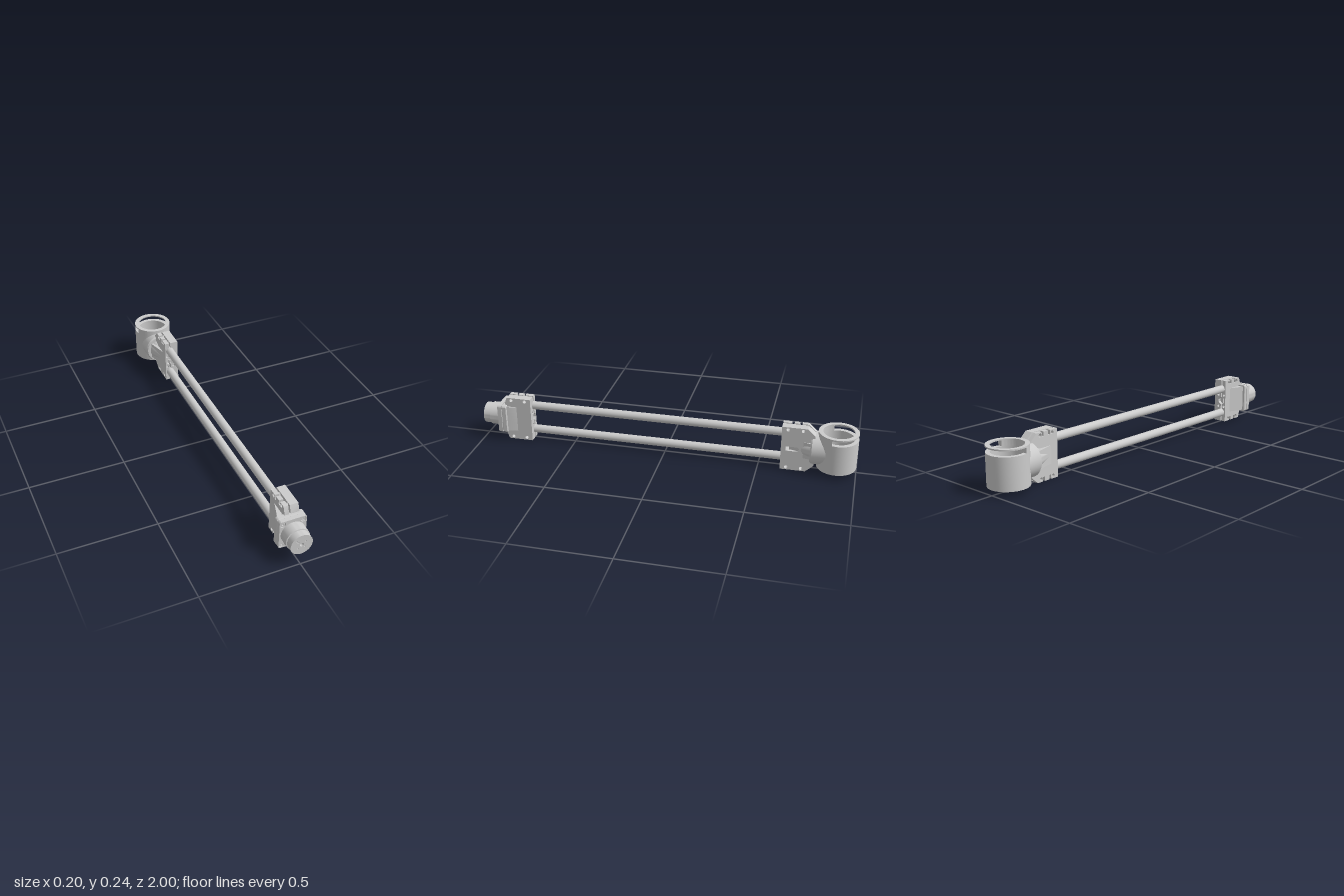
import * as THREE from 'three';
import { toCreasedNormals } from 'three/addons/utils/BufferGeometryUtils.js';

const CY = 0.122;          // height of the arm axis
const ROD = 0.07;          // rod offset above and below the axis
const RING_Z = -0.898;     // centre of the vertical ring
const mat = new THREE.MeshStandardMaterial({ color: 0xcccccc, side: THREE.DoubleSide });

function add(parent, name, geometry) {
  const mesh = new THREE.Mesh(geometry, mat);
  mesh.name = name;
  parent.add(mesh);
  return mesh;
}

const polygon = pts => new THREE.Shape(pts.map(p => new THREE.Vector2(p[0], p[1])));

function drill(shape, x, y, r) {
  shape.holes.push(new THREE.Path().absarc(x, y, r, 0, Math.PI * 2, true));
}

function extrude(shape, depth, bevel = 0) {
  const g = new THREE.ExtrudeGeometry(shape, {
    depth: depth - 2 * bevel, curveSegments: 24, bevelEnabled: bevel > 0,
    bevelSize: bevel, bevelThickness: bevel, bevelOffset: -bevel, bevelSegments: 1
  }).translate(0, 0, bevel);
  return toCreasedNormals(g, 0.6);
}

// Solid of revolution around z, profile points are [radius, z]
function turned(profile, segments = 48) {
  const pts = profile.map(p => new THREE.Vector2(p[0], p[1]));
  return toCreasedNormals(new THREE.LatheGeometry(pts, segments).rotateX(Math.PI / 2), 0.5);
}

function roundedRect(w, h, r) {
  const s = new THREE.Shape();
  s.absarc(w - r, h - r, r, 0, Math.PI / 2);
  s.absarc(-w + r, h - r, r, Math.PI / 2, Math.PI);
  s.absarc(-w + r, -h + r, r, Math.PI, Math.PI * 1.5);
  s.absarc(w - r, -h + r, r, Math.PI * 1.5, Math.PI * 2);
  return s;
}

// Split clamp; its rod face lies at z = 0 and it grows along +z
function makeClamp(name, length, shoulder, slotted) {
  const clamp = new THREE.Group();
  clamp.name = name;
  const H = 0.121, face = 0.02;
  for (const [side, x0, x1] of [['left', 0.004, 0.048], ['right', -0.027, -0.004]]) {
    // Side profile, with notches between the lugs on the thin half
    const top = [];
    if (side === 'right') {
      for (const d of [0.045, 0.085]) top.push([d, H], [d, H - 0.022], [d + 0.012, H - 0.022], [d + 0.012, H]);
    }
    const upper = [[face, H], ...top, [shoulder, H], [length, 0.085]];
    const lower = upper.map(([d, y]) => [d, -y]).reverse();
    const profile = polygon([...upper, ...lower]);
    for (const d of [0.032, 0.108]) for (const s of [-1, 1]) drill(profile, d, s * 0.107, 0.009);
    if (slotted && side === 'left') {
      const slot = new THREE.Path();
      slot.moveTo(0.024, -0.012);
      slot.lineTo(0.024, 0.012);
      slot.lineTo(0.08, 0.012);
      slot.absarc(0.08, 0, 0.012, Math.PI / 2, -Math.PI / 2, true);
      slot.lineTo(0.024, -0.012);
      profile.holes.push(slot);
    }
    add(clamp, side + 'ClampHalf', extrude(profile, x1 - x0).rotateY(-Math.PI / 2).translate(x1, 0, 0));

    // Rod face with the central bore and four small holes
    const inner = side === 'left' ? x0 : x1, outer = side === 'left' ? x1 : x0;
    const slab = new THREE.Shape();
    slab.moveTo(outer, -H);
    slab.lineTo(outer, H);
    slab.lineTo(inner, H);
    const a = Math.acos(0.004 / 0.021);
    if (side === 'left') slab.absarc(0, 0, 0.021, a, -a, true);
    else slab.absarc(0, 0, 0.021, Math.PI - a, Math.PI + a, false);
    slab.lineTo(inner, -H);
    const hx = side === 'left' ? 0.022 : -0.016;
    for (const s of [-1, 1]) drill(slab, hx, s * 0.034, 0.007);
    add(clamp, side + 'ClampFace', extrude(slab, face));
  }
  return clamp;
}

export function createModel() {
  const model = new THREE.Group();
  const arm = new THREE.Group();
  arm.name = 'arm';
  arm.position.y = CY;
  model.add(arm);

  // Twin rods
  for (const s of [-1, 1]) {
    add(arm, s > 0 ? 'upperRod' : 'lowerRod',
      new THREE.CylinderGeometry(0.022, 0.022, 1.42, 32).rotateX(Math.PI / 2).translate(0, s * ROD, 0.06));
  }

  // Clamps at both ends
  const front = makeClamp('frontClamp', 0.145, 0.132, false);
  front.position.z = 0.73;
  const rear = makeClamp('rearClamp', 0.17, 0.13, true);
  rear.position.z = -0.615;
  rear.scale.z = -1;
  arm.add(front, rear);

  // Flared neck of the front clamp, a plan outline extruded upwards
  const neck = polygon([[-0.027, -0.775], [-0.06, -0.87], [0.06, -0.87], [0.046, -0.80], [0.03, -0.775]]);
  add(arm, 'frontNeck', extrude(neck, 0.14).rotateX(-Math.PI / 2).translate(0, -0.07, 0));

  // Square flange in two layers, with corner screw holes
  const flange = new THREE.Group();
  flange.name = 'flange';
  arm.add(flange);
  const corners = [[1, 1], [-1, 1], [-1, -1], [1, -1]];
  add(flange, 'flangeBack', extrude(roundedRect(0.07, 0.079, 0.01), 0.025, 0.003).translate(0, 0, 0.862));
  add(flange, 'flangeSpacer', extrude(roundedRect(0.063, 0.073, 0.01), 0.006).translate(0, 0, 0.885));
  const plate = roundedRect(0.069, 0.079, 0.01);
  for (const [sx, sy] of corners) drill(plate, sx * 0.052, sy * 0.061, 0.014);
  add(flange, 'flangeFront', extrude(plate, 0.022).translate(0, 0, 0.89));
  for (const [sx, sy] of corners) {
    const head = new THREE.Shape().absarc(0, 0, 0.0115, 0, Math.PI * 2);
    head.holes.push(polygon([0, 1, 2, 3, 4, 5].map(i =>
      [0.006 * Math.cos(i * Math.PI / 3), 0.006 * Math.sin(i * Math.PI / 3)])));
    add(flange, 'flangeScrew', extrude(head, 0.02).translate(sx * 0.052, sy * 0.061, 0.89));
  }

  // Stepped output hub with a drilled end disc
  add(arm, 'hubBase', turned([[0, 0.905], [0.061, 0.905], [0.061, 0.963], [0.055, 0.965], [0, 0.965]]));
  const disc = new THREE.Shape().absarc(0, 0, 0.056, 0, Math.PI * 2);
  drill(disc, 0, 0, 0.01);
  for (const [sx, sy] of corners) drill(disc, sx * 0.018, sy * 0.018, 0.004);
  drill(disc, -0.025, 0.026, 0.0035);
  add(arm, 'hubDisc', extrude(disc, 0.035).translate(0, 0, 0.965));

  // Rear flare between clamp and collar
  add(arm, 'rearFlare', turned([[0, -0.775], [0.066, -0.775], [0.06, -0.75], [0.028, -0.66], [0, -0.66]]));
  const gusset = polygon([[-0.027, 0.655], [0.03, 0.655], [0.057, 0.765], [-0.057, 0.765]]);
  add(arm, 'rearNeck', extrude(gusset, 0.09).rotateX(-Math.PI / 2).translate(0, -0.045, 0));

  // Collar whose rear rim follows the ring wall
  const collar = new THREE.LatheGeometry(
    [[0.086, -0.9], [0.086, -0.772], [0.08, -0.764], [0, -0.764]].map(p => new THREE.Vector2(...p)), 48)
    .rotateX(Math.PI / 2);
  const pos = collar.attributes.position;
  for (let i = 0; i < pos.count; i++) {
    if (pos.getZ(i) < -0.85) pos.setZ(i, RING_Z + Math.sqrt(0.092 ** 2 - pos.getX(i) ** 2));
  }
  add(arm, 'collar', toCreasedNormals(collar, 0.5));

  // Vertical ring: body, front part of the slotted band, top rim
  const ring = new THREE.Group();
  ring.name = 'ring';
  ring.position.z = RING_Z;
  model.add(ring);
  const R = 0.102, r = 0.08;
  const annulus = new THREE.Shape().absarc(0, 0, R, 0, Math.PI * 2);
  drill(annulus, 0, 0, r);
  const a = Math.asin(0.028 / R), b = Math.asin(0.028 / r);
  const band = new THREE.Shape();
  band.absarc(0, 0, R, Math.PI + a, 2 * Math.PI - a, false);
  band.absarc(0, 0, r, 2 * Math.PI - b, Math.PI + b, true);
  for (const [name, shape, y0, y1] of [
    ['ringBody', annulus, 0.027, 0.19], ['ringBand', band, 0.19, 0.218], ['ringRim', annulus, 0.218, 0.225]]) {
    add(ring, name, extrude(shape, y1 - y0).rotateX(-Math.PI / 2).translate(0, y0, 0));
  }
  return model;
}
